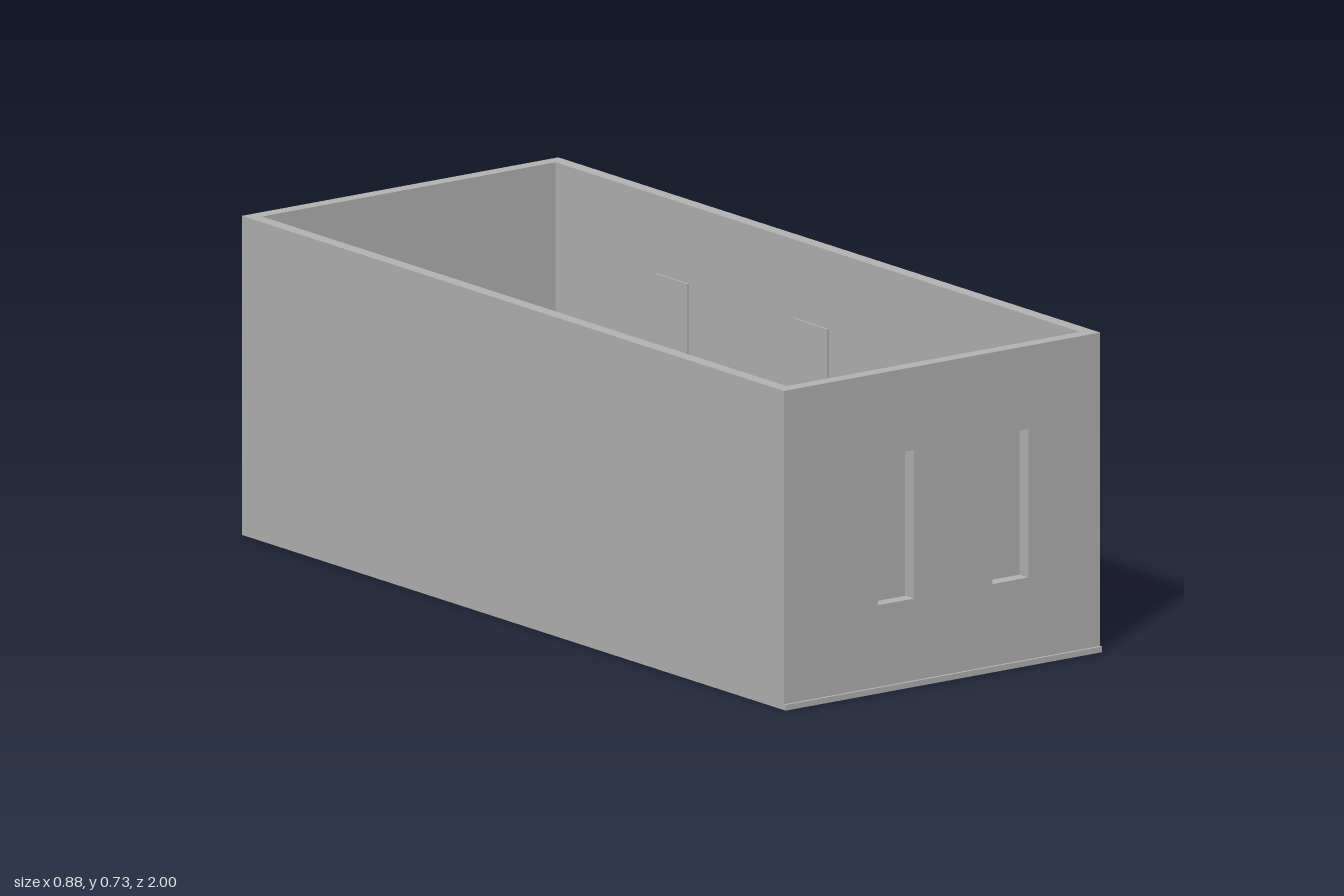
import * as THREE from 'three';

const W = 0.44;      // half width
const H = 0.73;      // wall height
const T = 0.032;     // wall thickness
const FRONT = 0.993; // outer face of the front wall
const BACK = -1;     // outer face of the back wall

export function createModel() {
  const model = new THREE.Group();
  const grey = new THREE.MeshStandardMaterial({ color: 0xb3b3b3 });
  grey.name = 'plain grey';

  // Upright wall in local x/y, its outer face towards local +z; slots are [u0, u1, v0, v1]
  function wall(name, u0, u1, slots = []) {
    const group = new THREE.Group();
    group.name = name;
    const shape = new THREE.Shape([[u0, 0], [u1, 0], [u1, H], [u0, H]].map(p => new THREE.Vector2(...p)));
    for (const [a, b, c, d] of slots) {
      shape.holes.push(new THREE.Path([[a, c], [a, d], [b, d], [b, c]].map(p => new THREE.Vector2(...p))));
      // thin panel closing the slot from the inside
      const m = 0.011, depth = 0.005;
      const panel = new THREE.Mesh(new THREE.BoxGeometry(b - a + 2 * m, d - c + 2 * m, depth), grey);
      panel.name = 'windowPanel';
      panel.position.set((a + b) / 2, (c + d) / 2, -depth / 2);
      group.add(panel);
    }
    const body = new THREE.Mesh(new THREE.ExtrudeGeometry(shape, { depth: T, bevelEnabled: false }), grey);
    body.name = name + 'Body';
    group.add(body);
    model.add(group);
    return group;
  }

  // Front wall with two tall windows
  wall('frontWall', -W, W, [[-0.178, -0.078, 0.2, 0.54], [0.14, 0.24, 0.2, 0.54]]).position.z = FRONT - T;

  // Plain back wall
  const back = wall('backWall', -W, W);
  back.rotation.y = Math.PI;
  back.position.z = BACK + T;

  // Left wall with a short and a tall window (local x runs towards -z)
  const left = wall('leftWall', -(FRONT - T), -(BACK + T),
    [[-0.027, 0.076, 0.3, 0.54], [0.488, 0.59, 0.205, 0.54]]);
  left.rotation.y = Math.PI / 2;
  left.position.x = W - T;

  // Plain right wall (local x runs towards +z)
  const right = wall('rightWall', BACK + T, FRONT - T);
  right.rotation.y = -Math.PI / 2;
  right.position.x = -(W - T);

  // Thin sill along the foot of the front wall
  const sill = new THREE.Mesh(new THREE.BoxGeometry(2 * W, 0.013, 1 - FRONT), grey);
  sill.name = 'frontSill';
  sill.position.set(0, 0.0065, (1 + FRONT) / 2);
  model.add(sill);

  return model;
}
